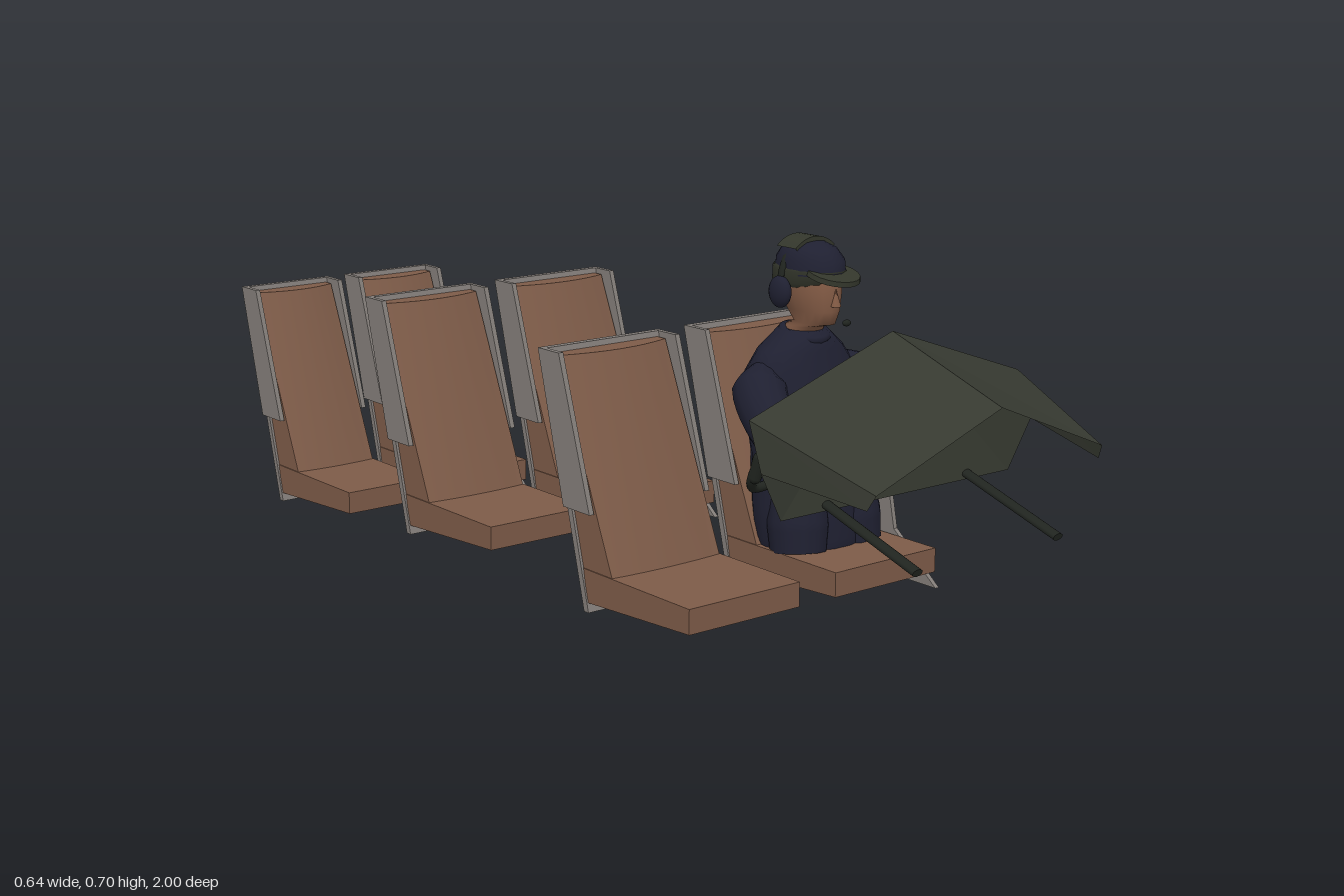
import * as THREE from 'three';

const mat = (name, color, side = THREE.FrontSide) => {
  const m = new THREE.MeshStandardMaterial({ color, side });
  m.name = name;
  return m;
};
const leather = mat('brown leather', 0x7d5b48);
const shell = mat('grey shell', 0x837d79);
const olive = mat('dark olive panel', 0x363930, THREE.DoubleSide);
const navy = mat('navy cloth', 0x1f2031);
const skin = mat('skin', 0x835b45);
const camo = mat('cap olive', 0x33362b);
const black = mat('control black', 0x20241f);

function add(parent, name, geometry, material) {
  const m = new THREE.Mesh(geometry, material);
  m.name = name;
  parent.add(m);
  return m;
}

// Extrudes a (z, y) profile from x0 to x1
function sideExtrude(points, x0, x1) {
  const shape = new THREE.Shape(points.map(p => new THREE.Vector2(...p)));
  return new THREE.ExtrudeGeometry(shape, { depth: x1 - x0, bevelEnabled: false })
    .rotateY(-Math.PI / 2).translate(x1, 0, 0);
}

// Stacks horizontal ellipses given as [y, centreZ, radiusX, radiusZ], bottom to top
function loft(rows, n = 18) {
  const pos = [], idx = [];
  rows.forEach(([y, cz, rx, rz], i) => {
    for (let j = 0; j < n; j++) {
      const a = j / n * Math.PI * 2;
      pos.push(Math.cos(a) * rx, y, cz + Math.sin(a) * rz);
      if (i === rows.length - 1) continue;
      const p = i * n + j, q = i * n + (j + 1) % n;
      idx.push(p, p + n, q, q, p + n, q + n);
    }
  });
  const g = new THREE.BufferGeometry();
  g.setAttribute('position', new THREE.Float32BufferAttribute(pos, 3));
  g.setIndex(idx);
  g.computeVertexNormals();
  return g;
}

// Tube whose radius follows a list of values along its path
function limb(points, radii, n = 24) {
  const curve = new THREE.CatmullRomCurve3(points.map(p => new THREE.Vector3(...p)));
  const g = new THREE.TubeGeometry(curve, n, 1, 12);
  const pos = g.attributes.position, v = new THREE.Vector3();
  for (let i = 0; i <= n; i++) {
    const c = curve.getPointAt(i / n), t = i / n * (radii.length - 1);
    const k = Math.min(Math.floor(t), radii.length - 2);
    const r = THREE.MathUtils.lerp(radii[k], radii[k + 1], t - k);
    for (let j = 0; j <= 12; j++) {
      const q = i * 13 + j;
      v.fromBufferAttribute(pos, q).sub(c).multiplyScalar(r).add(c);
      pos.setXYZ(q, v.x, v.y, v.z);
    }
  }
  g.computeVertexNormals();
  return g;
}

const ball = (x, y, z, rx, ry, rz) =>
  new THREE.SphereGeometry(1, 18, 12).scale(rx, ry, rz).translate(x, y, z);

// Backrest cushion: a leaning slab, straight at the foot and rounded at the top
function backrest(x0, x1) {
  const w = x1 - x0, g = new THREE.BoxGeometry(w, 1, 1, 12, 1, 1), p = g.attributes.position;
  for (let i = 0; i < p.count; i++) {
    const top = p.getY(i) > 0, x = p.getX(i), s = 2 * x / w;
    const front = top ? 0.245 - 0.022 * s * s : 0.387 - 0.006 * s * s;
    p.setXYZ(i, x + (x0 + x1) / 2, top ? 0.512 : 0.14, p.getZ(i) > 0 ? front : top ? 0.195 : 0.295);
  }
  g.computeVertexNormals();
  return g;
}

function seat(name, x0, x1, outer) {
  const s = new THREE.Group();
  s.name = name;
  // Seat cushion is a cover with an open underside
  add(s, 'seatCushion', sideExtrude([[0.59, 0.118], [0.59, 0.145], [0.3, 0.145], [0.305, 0.118]], x0, x1), leather);
  add(s, 'cushionFront', sideExtrude([[0.59, 0.1], [0.59, 0.118], [0.586, 0.118], [0.586, 0.1]], x0, x1), leather);
  add(s, 'cushionRear', sideExtrude([[0.319, 0.085], [0.319, 0.118], [0.305, 0.118], [0.312, 0.085]], x0, x1), leather);
  for (const x of [x0, x1 - 0.004]) {
    add(s, 'cushionSide', sideExtrude([[0.586, 0.1], [0.586, 0.118], [0.319, 0.118], [0.319, 0.085]], x, x + 0.004), leather);
  }
  add(s, 'backCushion', backrest(x0 + 0.002, x1 - 0.002), leather);
  add(s, 'backShell', sideExtrude([[0.305, 0.068], [0.318, 0.068], [0.198, 0.522], [0.185, 0.522]], x0 - 0.003, x1 + 0.003), shell);
  const wing = [[0.333, 0.25], [0.246, 0.522], [0.185, 0.522], [0.257, 0.25]];
  add(s, 'rightWing', sideExtrude(wing, x0 - 0.012, x0 - 0.002), shell);
  add(s, 'leftWing', sideExtrude(wing, x1 + 0.002, x1 + 0.012), shell);
  if (outer) {
    add(s, 'sidePanel', sideExtrude([[0.59, 0.068], [0.48, 0.155], [0.46, 0.25], [0.257, 0.25], [0.305, 0.068]],
      x1 + 0.003, x1 + 0.012), shell);
  }
  return s;
}

// Open-fronted instrument hood made of flat polygons
function consoleHood() {
  const peakB = [-0.01, 0.605, 0.755], peakF = [-0.01, 0.522, 1];
  const corners = s => ({
    top: [-0.01 + s * 0.305, 0.5, 0.752], low: [-0.01 + s * 0.307, 0.42, 0.785],
    foot: [-0.01 + s * 0.26, 0.335, 0.78],
    frontTop: [-0.01 + s * 0.255, 0.42, 0.987], frontLow: [-0.01 + s * 0.262, 0.395, 0.975],
  });
  const L = corners(1), R = corners(-1), pos = [];
  const face = (...p) => {
    for (let i = 1; i < p.length - 1; i++) pos.push(...p[0], ...p[i], ...p[i + 1]);
  };
  face(peakB, peakF, L.frontTop, L.top);
  face(peakB, R.top, R.frontTop, peakF);
  face(L.top, L.frontTop, L.frontLow, L.low);
  face(R.top, R.low, R.frontLow, R.frontTop);
  face(peakB, L.top, L.low, L.foot, R.foot, R.low, R.top);
  const g = new THREE.BufferGeometry();
  g.setAttribute('position', new THREE.Float32BufferAttribute(pos, 3));
  g.computeVertexNormals();
  return g;
}

function yoke(name, x) {
  const g = new THREE.Group();
  g.name = name;
  g.position.x = x;
  add(g, 'column', new THREE.CylinderGeometry(0.011, 0.011, 0.305, 12).scale(1, 1, 0.6)
    .rotateX(1.871).translate(0, 0.326, 0.839), black);
  add(g, 'hub', new THREE.BoxGeometry(0.05, 0.035, 0.02).translate(0, 0.375, 0.69), black);
  add(g, 'wheel', limb([[-0.08, 0.43, 0.715], [-0.09, 0.39, 0.7], [-0.075, 0.365, 0.685], [0, 0.372, 0.688],
    [0.075, 0.365, 0.685], [0.09, 0.39, 0.7], [0.08, 0.43, 0.715]], [0.008, 0.008], 36), black);
  for (const s of [-1, 1]) {
    add(g, 'grip', new THREE.CapsuleGeometry(0.011, 0.035, 4, 10).rotateX(0.3).translate(s * 0.087, 0.405, 0.708), black);
  }
  return g;
}

function pilot() {
  const g = new THREE.Group();
  g.name = 'pilot';
  g.position.x = 0.149;
  add(g, 'torso', loft([[0.072, 0.4, 0, 0], [0.078, 0.4, 0.06, 0.05], [0.11, 0.4, 0.1, 0.085], [0.16, 0.395, 0.112, 0.09],
    [0.22, 0.39, 0.115, 0.09], [0.31, 0.38, 0.11, 0.088], [0.4, 0.365, 0.118, 0.082], [0.455, 0.36, 0.12, 0.072],
    [0.495, 0.36, 0.09, 0.06], [0.53, 0.365, 0.046, 0.046], [0.535, 0.365, 0, 0]]), navy);
  add(g, 'collar', new THREE.TorusGeometry(0.039, 0.01, 8, 20).rotateX(Math.PI / 2 + 0.2).translate(0, 0.522, 0.37), navy);
  add(g, 'head', loft([[0.5, 0.36, 0.036, 0.036], [0.538, 0.372, 0.034, 0.036], [0.546, 0.396, 0.028, 0.046],
    [0.57, 0.392, 0.039, 0.057], [0.6, 0.385, 0.045, 0.066], [0.64, 0.38, 0.049, 0.068], [0.67, 0.38, 0.035, 0.05], [0.68, 0.38, 0, 0]]), skin);
  add(g, 'nose', new THREE.ConeGeometry(0.01, 0.032, 8).translate(0, 0.597, 0.451), skin);
  // Cap
  add(g, 'capCrown', loft([[0.635, 0.383, 0.055, 0.074], [0.66, 0.383, 0.054, 0.071], [0.68, 0.38, 0.043, 0.055],
    [0.69, 0.38, 0.024, 0.032], [0.693, 0.38, 0, 0]]), navy);
  add(g, 'capBand', loft([[0.612, 0.37, 0.05, 0.064], [0.62, 0.374, 0.054, 0.072], [0.642, 0.38, 0.057, 0.077], [0.648, 0.38, 0.053, 0.072]]), camo);
  add(g, 'capBrim', new THREE.CylinderGeometry(0.048, 0.05, 0.009, 20).rotateX(0.25).translate(0, 0.638, 0.443), camo);
  // Headset: wide pad over the crown, slim arms down to the cups
  add(g, 'headsetPad', new THREE.CylinderGeometry(0.069, 0.069, 0.05, 12, 1, false, -0.75, 1.5)
    .rotateX(-Math.PI / 2).translate(0, 0.631, 0.37), camo);
  add(g, 'headsetBand', new THREE.TorusGeometry(0.06, 0.004, 8, 24, Math.PI).scale(1, 1.3, 2).translate(0, 0.614, 0.37), black);
  for (const s of [-1, 1]) {
    add(g, 'earCup', ball(s * 0.06, 0.603, 0.37, 0.015, 0.029, 0.026), navy);
    add(g, 'thigh', limb([[s * 0.05, 0.33, 0.4], [s * 0.06, 0.24, 0.425], [s * 0.068, 0.14, 0.44]],
      [0.02, 0.045, 0.053, 0.057, 0.052]), navy);
    // Arms reach forward to the control wheel
    add(g, 'sleeve', limb([[s * 0.085, 0.465, 0.355], [s * 0.119, 0.42, 0.39], [s * 0.129, 0.345, 0.48],
      [s * 0.118, 0.358, 0.57], [s * 0.093, 0.382, 0.665]], [0.02, 0.05, 0.048, 0.045, 0.042, 0.037, 0.031, 0.025, 0.019]), navy);
    add(g, 'sleeveEnd', ball(s * 0.093, 0.382, 0.664, 0.019, 0.019, 0.01), navy);
    add(g, 'hand', ball(s * 0.09, 0.388, 0.692, 0.017, 0.019, 0.029), skin);
    add(g, 'thumb', ball(s * 0.077, 0.4, 0.705, 0.007, 0.013, 0.01), skin);
  }
  add(g, 'microphone', ball(0, 0.556, 0.48, 0.009, 0.006, 0.006), black);
  return g;
}

export function createModel() {
  const model = new THREE.Group();
  model.name = 'cabinInterior';
  // Three rows of paired seats: right x range, left x range, z shift, y shift
  const rows = [
    ['front', [-0.298, -0.052], [0.032, 0.277], 0, 0],
    ['middle', [-0.28, -0.054], [0.028, 0.262], -0.6, 0],
    ['rear', [-0.235, -0.045], [0.022, 0.215], -1.18, -0.068],
  ];
  for (const [name, right, left, dz, dy] of rows) {
    const row = new THREE.Group();
    row.name = name + 'Row';
    row.add(seat(name + 'RightSeat', ...right, false), seat(name + 'LeftSeat', ...left, true));
    row.position.set(0, dy, dz);
    model.add(row);
  }
  add(model, 'instrumentHood', consoleHood(), olive);
  model.add(yoke('rightYoke', -0.17), yoke('leftYoke', 0.15), pilot());
  return model;
}
